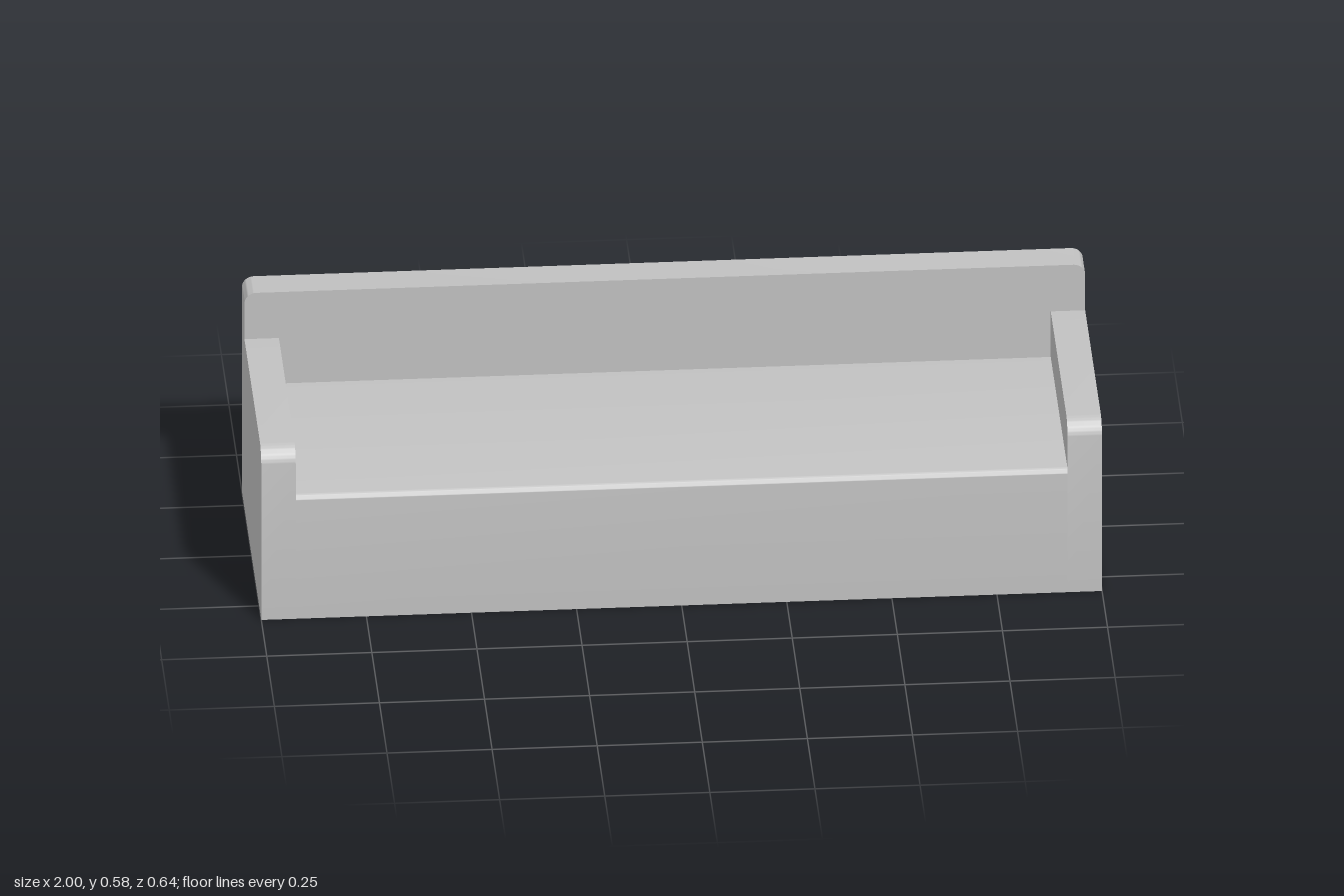
import * as THREE from 'three';
import { toCreasedNormals } from 'three/addons/utils/BufferGeometryUtils.js';

const FRONT = 0.32, REAR = -0.32, BACK_FACE = -0.237;
const HALF = 1, INNER = 0.918;

// Rectangle standing on y = 0, with either top corner rounded
function profile(x0, x1, height, leftRadius, rightRadius) {
  const s = new THREE.Shape();
  s.moveTo(x0, 0);
  s.lineTo(x1, 0);
  s.lineTo(x1, height - rightRadius);
  if (rightRadius) s.absarc(x1 - rightRadius, height - rightRadius, rightRadius, 0, Math.PI / 2, false);
  s.lineTo(x0 + leftRadius, height);
  if (leftRadius) s.absarc(x0 + leftRadius, height - leftRadius, leftRadius, Math.PI / 2, Math.PI, false);
  s.closePath();
  return s;
}

// Extrusion centred on its depth
function extrude(shape, depth) {
  const g = new THREE.ExtrudeGeometry(shape, { depth, bevelEnabled: false, curveSegments: 8 });
  g.translate(0, 0, -depth / 2);
  return toCreasedNormals(g, 0.6);
}

export function createModel() {
  const group = new THREE.Group();
  group.name = 'sofa';
  const grey = new THREE.MeshStandardMaterial({ color: 0xc0c0c0 });
  grey.name = 'light grey';

  const add = (name, geometry, x, z) => {
    const mesh = new THREE.Mesh(geometry, grey);
    mesh.name = name;
    mesh.position.set(x, 0, z);
    group.add(mesh);
  };

  // Backrest: full width, rounded upper corners
  add('backrest', extrude(profile(-HALF, HALF, 0.58, 0.028, 0.028), BACK_FACE - REAR), 0, (BACK_FACE + REAR) / 2);

  // Seat block: side profile swept across, softened front edge
  const seat = extrude(profile(BACK_FACE, FRONT, 0.333, 0, 0.015), INNER * 2).rotateY(-Math.PI / 2);
  add('seat', seat, 0, 0);

  // Armrests: rounded at the upper front
  const arm = extrude(profile(BACK_FACE, FRONT, 0.456, 0, 0.045), HALF - INNER).rotateY(-Math.PI / 2);
  for (const [name, side] of [['leftArmrest', 1], ['rightArmrest', -1]]) {
    add(name, arm, side * (HALF + INNER) / 2, 0);
  }
  return group;
}
